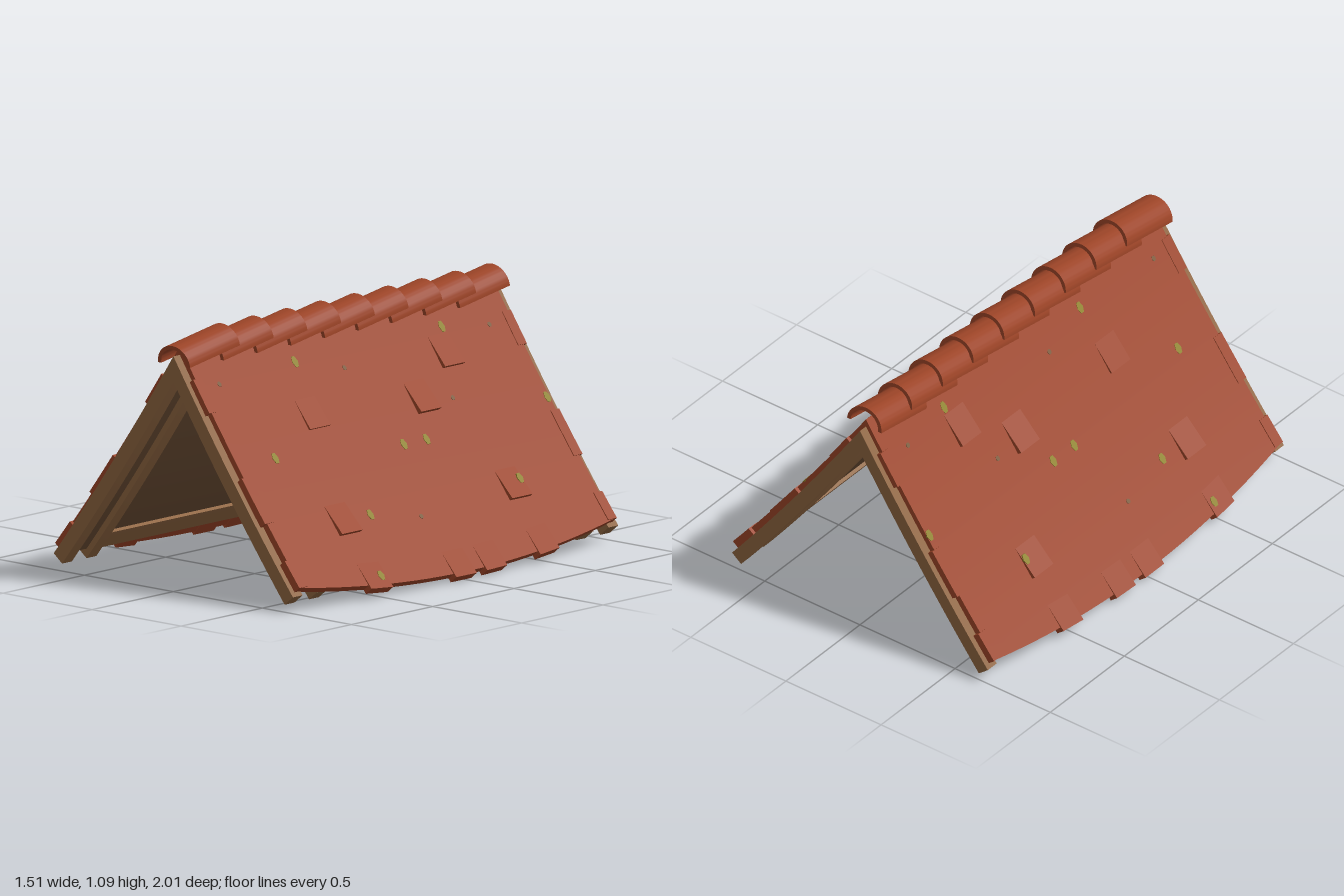
import * as THREE from 'three';
import { toCreasedNormals } from 'three/addons/utils/BufferGeometryUtils.js';

const paint = (name, color) => {
  const m = new THREE.MeshStandardMaterial({ color });
  m.name = name;
  return m;
};

// Gently concave slope of the underside: height and steepness at distance u from the ridge line
const height = (u) => 0.893 - 1.49 * u + 0.19 * u * u;
const steep = (u) => 1.49 - 0.38 * u;
// Tile surface offset, and the swelling eave line
const tileTop = (u) => 0.08 + 0.018 * Math.max(u, 0);
const eave = (z) => 0.612 + 0.055 * (1 - (z / 0.96) ** 2);
const ridgeStart = (d) => -d * 0.83; // mitre at the ridge

// Point on a slope: u along it, d out from the underside
function slopePoint(u, d) {
  const s = steep(u), l = Math.hypot(1, s);
  return [u + (d * s) / l, height(u) + d / l];
}

// Bends a unit geometry onto one slope; the rule returns [u, d, z] for a, b, c in 0..1
function bend(geometry, side, rule) {
  const p = geometry.attributes.position;
  for (let i = 0; i < p.count; i++) {
    const [u, d, z] = rule(p.getX(i) + 0.5, p.getY(i) + 0.5, side * p.getZ(i) + 0.5);
    const [x, y] = slopePoint(u, d);
    p.setXYZ(i, side * x, y, z);
  }
  geometry.computeVertexNormals();
  return geometry;
}

const mix = (a, b, t) => a + (b - a) * t;

export function createModel() {
  const model = new THREE.Group();
  model.name = 'gableRoof';
  const tile = paint('terracotta', 0x9c4427);
  const wood = paint('timber', 0x8f6540);
  const board = paint('darkBoarding', 0x6a4c33);
  const moss = paint('moss', 0x8e8228);
  const lichen = paint('lichen', 0x7a5a3a);

  for (const side of [1, -1]) {
    const slope = new THREE.Group();
    slope.name = side > 0 ? 'leftSlope' : 'rightSlope';
    model.add(slope);
    const add = (name, material, geometry, rule) => {
      const mesh = new THREE.Mesh(bend(geometry, side, rule), material);
      mesh.name = name;
      slope.add(mesh);
    };
    // Straight timber; u0 = null starts it at the ridge mitre
    const beam = (name, material, u0, u1, d0, d1, z0, z1) =>
      add(name, material, new THREE.BoxGeometry(1, 1, 1, 12, 1, 1), (a, b, c) => {
        const d = mix(d0, d1, b);
        return [mix(u0 === null ? ridgeStart(d) : u0, u1, a), d, mix(z0, z1, c)];
      });

    // Tile covering with a bowed eave
    add('tileCovering', tile, new THREE.BoxGeometry(1, 1, 1, 16, 1, 24), (a, b, c) => {
      const z = mix(-0.96, 0.96, c), end = eave(z);
      const d = mix(0.058, tileTop(end * a), b);
      return [mix(ridgeStart(d), end, a), d, z];
    });

    // Boarding and framing underneath
    beam('boarding', board, null, 0.605, 0.025, 0.058, -0.95, 0.95);
    for (const s of [1, -1]) {
      beam('bargeBoard', wood, null, 0.625, 0, 0.06, s * 0.97 - 0.03, s * 0.97 + 0.03);
      beam('rafter', wood, null, 0.625, 0, 0.057, s * 0.82 - 0.03, s * 0.82 + 0.03);
    }
    beam('eaveBeam', wood, 0.545, 0.6, 0.01, 0.05, -0.8, 0.8);
    beam('ridgeBeam', wood, null, 0.045, 0.01, 0.05, -0.8, 0.8);

    // Lifted tiles: lower edge u, first z, lift
    const lifted = [[0.5, -0.57, 0.018], [0.125, -0.57, 0.018], [0.225, -0.31, 0.022],
      [0.205, 0.34, 0.01], [0.495, 0.47, 0.018]];
    for (const [u1, z0, lift] of lifted) {
      add('liftedTile', tile, new THREE.BoxGeometry(1, 1, 1), (a, b, c) => {
        const u = mix(u1 - 0.09, u1, a);
        return [u, mix(0.065, tileTop(u) + lift * a, b), mix(z0, z0 + 0.125, c)];
      });
    }

    // Uneven tile ends along the eave
    for (const z0 of [-0.57, -0.23, -0.04, 0.46]) {
      add('eaveTile', tile, new THREE.BoxGeometry(1, 1, 1), (a, b, c) => {
        const z = mix(z0, z0 + 0.125, c), u = eave(z) + mix(-0.07, 0.012, a);
        return [u, mix(0.056, tileTop(u) + 0.006 * a, b), z];
      });
    }

    // Uneven tile ends along both gables
    for (const s of [1, -1]) {
      for (const [u0, u1] of [[0.02, 0.11], [0.29, 0.42], [0.53, 0.612]]) {
        add('gableTile', tile, new THREE.BoxGeometry(1, 1, 1, 3, 1, 1), (a, b, c) => {
          const u = mix(u0, u1, a);
          return [u, mix(0.056, tileTop(u) + 0.004, b), s * 0.95 + mix(-0.026, 0.026, c)];
        });
      }
    }

    // Small growths lying on the tiles, placed by height y and z
    const spot = (name, material, y, z, w, h, lift = 0) => {
      const q = 0.945 - y;
      const u0 = (1.49 - Math.sqrt(1.49 ** 2 - 0.76 * q)) / 0.38;
      add(name, material, new THREE.CylinderGeometry(0.5, 0.5, 1, 6), (a, b, c) => {
        const u = u0 + (a - 0.5) * h;
        return [u, tileTop(u) + lift + mix(-0.004, 0.003, b), z + (c - 0.5) * w];
      });
    };
    for (const [y, z, lift] of [[0.9, 0.36], [0.575, 0.73], [0.525, -0.02], [0.525, -0.16], [0.91, -0.55],
      [0.58, -0.945], [0.305, 0.365], [0.315, -0.555, 0.009], [0.085, 0.49, 0.003]]) {
      spot('mossPatch', moss, y, z, 0.034, 0.032, lift);
    }
    for (const [y, z] of [[0.88, 0.84], [0.88, -0.82], [0.84, 0.1], [0.65, -0.42], [0.26, 0.09]]) {
      spot('lichenSpot', lichen, y, z, 0.022, 0.014);
    }
  }

  // Overlapping half-round ridge caps
  const arch = new THREE.Shape();
  arch.absarc(0, 0, 0.09, 0, Math.PI, false);
  arch.lineTo(-0.072, 0);
  arch.absarc(0, 0, 0.072, Math.PI, 0, true);
  arch.closePath();
  const capLength = 0.31;
  const extruded = new THREE.ExtrudeGeometry(arch, { depth: capLength, bevelEnabled: false, curveSegments: 18 });
  extruded.translate(0, 0, -capLength / 2).scale(1, 0.93, 1);
  const capGeometry = toCreasedNormals(extruded, 0.6);
  for (let i = 0; i < 9; i++) {
    const cap = new THREE.Mesh(capGeometry, tile);
    cap.name = 'ridgeCap';
    cap.position.set(0, 0.988, 0.842 - 0.2075 * i);
    cap.rotation.x = 0.16;
    model.add(cap);
  }
  return model;
}
